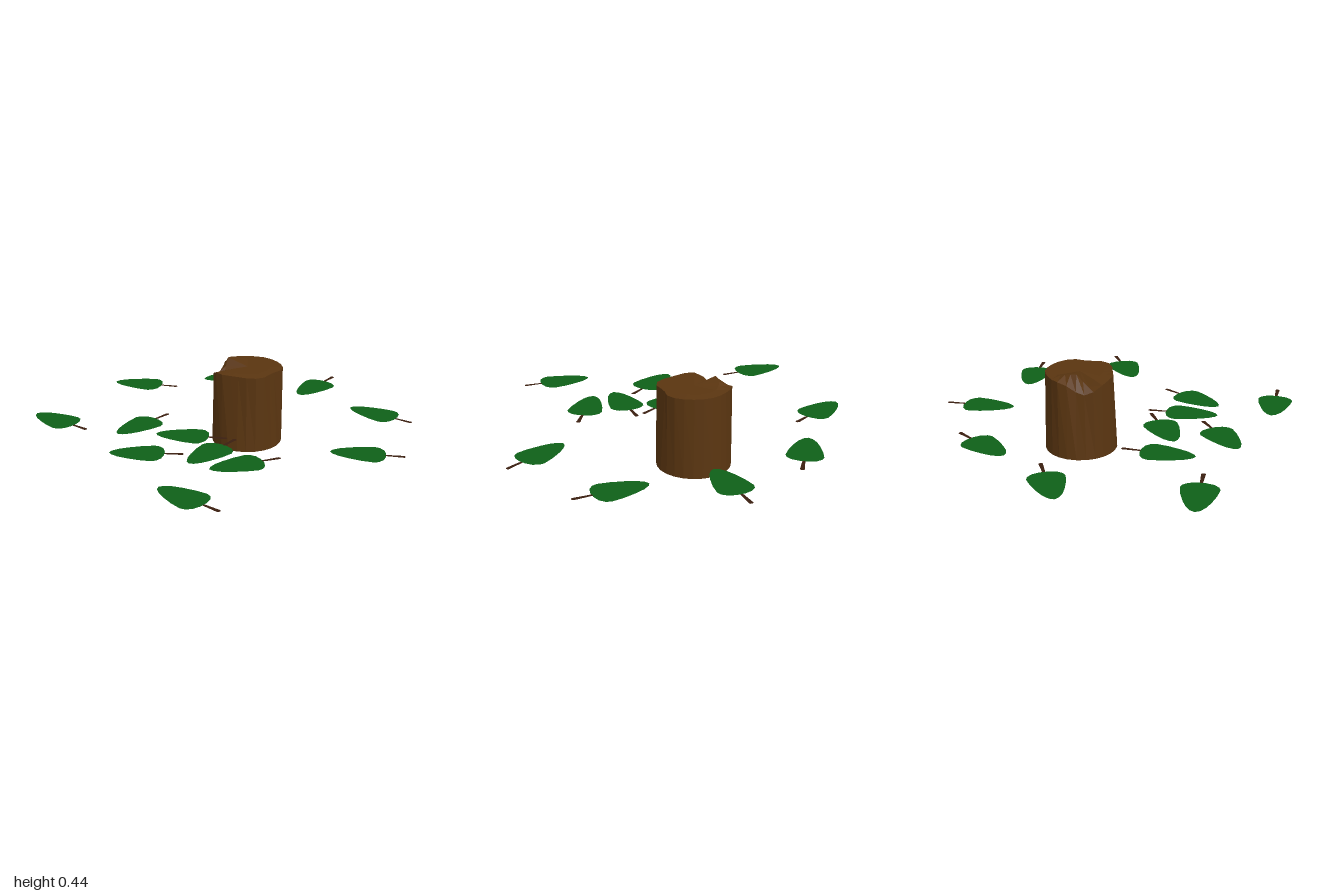
import * as THREE from 'three';

const leafMat = new THREE.MeshStandardMaterial({ color: 0x0e6018, side: THREE.DoubleSide });
const stemMat = new THREE.MeshStandardMaterial({ color: 0x3a1e10, side: THREE.DoubleSide });
const woodMat = new THREE.MeshStandardMaterial({ color: 0x5a3510, flatShading: true });

// Flat shape, symmetric about x, lying in the ground plane
function flatGeometry(half) {
  const mirrored = half.filter(p => p[1] > 0).reverse().map(([x, y]) => [x, -y]);
  const points = [...half, ...mirrored].map(([x, y]) => new THREE.Vector2(x, y));
  return new THREE.ShapeGeometry(new THREE.Shape(points)).rotateX(-Math.PI / 2);
}

// Tip at the origin, stalk towards +x
const bladeGeo = flatGeometry([[0, 0], [0.012, 0.022], [0.045, 0.045], [0.09, 0.063], [0.155, 0.082],
  [0.215, 0.091], [0.24, 0.083], [0.262, 0.058], [0.272, 0.02]]);
const stalkGeo = flatGeometry([[0.27, 0.007], [0.36, 0.011], [0.366, 0.006]]);

function makeLeaf(tipX, tipZ, endX, endZ) {
  const leaf = new THREE.Group();
  leaf.name = 'leaf';
  const blade = new THREE.Mesh(bladeGeo, leafMat);
  blade.name = 'leafBlade';
  const stalk = new THREE.Mesh(stalkGeo, stemMat);
  stalk.name = 'leafStalk';
  leaf.add(blade, stalk);
  leaf.position.set(tipX, 0.152, tipZ);
  leaf.rotation.y = -Math.atan2(endZ - tipZ, endX - tipX);
  return leaf;
}

// Broken stump: rings from bottom centre up the wall and over the ragged top
function makeStump() {
  const R = 0.187, N = 24;
  const rimR = [1, 0.98, 0.87, 0.88, 0.98, 1, 0.95, 0.89, 0.9, 0.97, 1, 0.98,
    0.93, 0.88, 0.85, 0.93, 0.98, 0.95, 0.93, 0.94, 0.96, 0.96, 0.97, 0.99];
  const rimY = Array(N).fill(0.41);
  [0.39, 0.36, 0.345, 0.36, 0.395].forEach((y, i) => { rimY[11 + i] = y; });
  const innerY = Array(N).fill(0.412);
  [0.4, 0.37, 0.4, 0.44, 0.437, 0.43, 0.42].forEach((y, i) => { innerY[11 + i] = y; });
  const rings = [
    () => [0, 0],
    () => [1, 0],
    i => [rimR[i], rimY[i]],
    i => [0.64, innerY[i]],
    () => [0, 0.412],
  ];
  const pos = [], index = [];
  rings.forEach((ring, k) => {
    for (let i = 0; i < N; i++) {
      const [r, y] = ring(i), a = (i / N) * Math.PI * 2;
      pos.push(Math.cos(a) * r * R, y, Math.sin(a) * r * R);
      if (k === 0) continue;
      const j = (i + 1) % N, lo = (k - 1) * N, hi = k * N;
      if (k < rings.length - 1) index.push(lo + i, hi + i, hi + j);
      if (k > 1) index.push(lo + i, hi + j, lo + j);
    }
  });
  const geo = new THREE.BufferGeometry();
  geo.setAttribute('position', new THREE.Float32BufferAttribute(pos, 3));
  geo.setIndex(index);
  const flat = geo.toNonIndexed();
  flat.computeVertexNormals();
  const stump = new THREE.Mesh(flat, woodMat);
  stump.name = 'stump';
  stump.position.set(0.123, 0, -0.246);
  return stump;
}

export function createModel() {
  const model = new THREE.Group();
  model.name = 'stumpWithLeaves';
  model.add(makeStump());

  // Scattered leaves: tip x, tip z, stalk end x, stalk end z
  const leaves = [
    [-0.645, -0.68, -0.28, -0.615], [-0.135, -0.745, 0.21, -0.865],
    [0.41, -0.515, 0.62, -0.815], [0.685, -0.34, 0.99, -0.135],
    [-1, -0.18, -0.695, 0.03], [-0.53, 0.077, -0.297, -0.203],
    [-0.334, 0.062, 0.03, 0.11], [-0.54, 0.302, -0.175, 0.307],
    [-0.142, 0.413, 0.072, 0.12], [-0.04, 0.473, 0.295, 0.332],
    [0.54, 0.243, 0.9, 0.293], [-0.26, 0.665, 0.03, 0.89],
  ];
  leaves.forEach(l => model.add(makeLeaf(...l)));
  return model;
}
